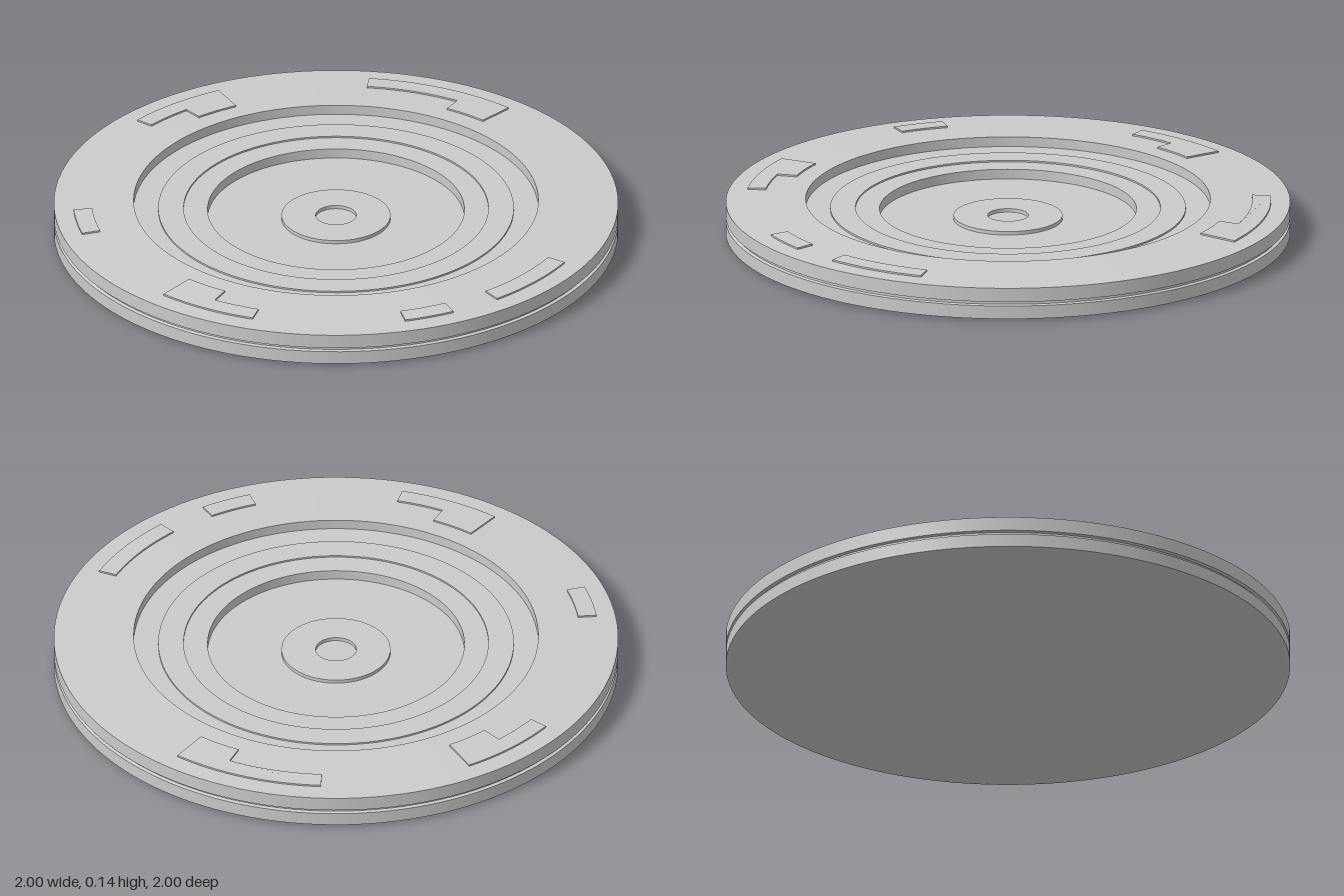
import * as THREE from 'three';
import { toCreasedNormals } from 'three/addons/utils/BufferGeometryUtils.js';

const material = new THREE.MeshStandardMaterial({ color: 0xcccccc });
const SEGMENTS = 128;

// Revolve a profile of [radius, height] points, listed from underside to top
function lathe(name, profile) {
  const points = profile.map(([r, y]) => new THREE.Vector2(r, y));
  const geometry = toCreasedNormals(new THREE.LatheGeometry(points, SEGMENTS), 0.12);
  const mesh = new THREE.Mesh(geometry, material);
  mesh.name = name;
  return mesh;
}

// The rim rises gently towards the centre
const RIM_INNER = 0.717;
const rimHeight = (r) => 0.122 + 0.01 * (1 - r) / (1 - RIM_INNER);

// Raised plate on the rim: sections of [startDegrees, endDegrees, innerRadius]
function rimPlate(sections) {
  const outer = 0.932, points = [];
  const arc = (r, from, to) => {
    const steps = Math.max(2, Math.round(Math.abs(to - from) / 2));
    for (let i = 0; i <= steps; i++) {
      const a = THREE.MathUtils.degToRad(from + (to - from) * i / steps);
      points.push(new THREE.Vector2(r * Math.cos(a), r * Math.sin(a)));
    }
  };
  arc(outer, sections[0][0], sections[sections.length - 1][1]);
  for (const [start, end, inner] of [...sections].reverse()) arc(inner, end, start);

  const geometry = new THREE.ExtrudeGeometry(new THREE.Shape(points), { depth: 0.012, bevelEnabled: false });
  geometry.rotateX(Math.PI / 2);
  // Tilt the plate along the rim slope
  const p = geometry.attributes.position;
  for (let i = 0; i < p.count; i++) {
    p.setY(i, p.getY(i) + rimHeight(Math.hypot(p.getX(i), p.getZ(i))) + 0.006);
  }
  geometry.computeVertexNormals();
  const mesh = new THREE.Mesh(geometry, material);
  mesh.name = 'rimPlate';
  return mesh;
}

export function createModel() {
  const model = new THREE.Group();
  model.name = 'disc';

  // Body: shallow underside, grooved edge, sloped rim and stepped recess
  model.add(lathe('body', [
    [0, 0], [0.88, 0], [0.985, 0.004], [1, 0.008],
    [1, 0.056], [0.988, 0.059], [0.988, 0.068], [1, 0.071],
    [1, 0.122], [RIM_INNER, rimHeight(RIM_INNER)],
    [RIM_INNER, 0.096], [0.63, 0.096], [0.63, 0.102], [0.54, 0.102],
    [0.54, 0.096], [0.455, 0.096], [0.455, 0.06], [0, 0.06],
  ]));

  // Hub ring with a central hole
  model.add(lathe('hubRing', [
    [0.193, 0.055], [0.193, 0.073], [0.072, 0.073], [0.072, 0.055],
  ]));

  // Plates spread around the rim, some with a wider end
  const wide = 0.793, narrow = 0.866;
  const plates = [
    [[-22.5, 0, narrow]],
    [[11.25, 22.5, narrow]],
    [[56.25, 67.5, narrow], [67.5, 78.75, wide]],
    [[112.5, 123.75, narrow]],
    [[168.75, 180, narrow], [180, 191.25, wide]],
    [[225, 247.5, narrow], [247.5, 258.75, wide]],
  ];
  const group = new THREE.Group();
  group.name = 'rimPlates';
  plates.forEach((sections) => group.add(rimPlate(sections)));
  model.add(group);

  return model;
}
